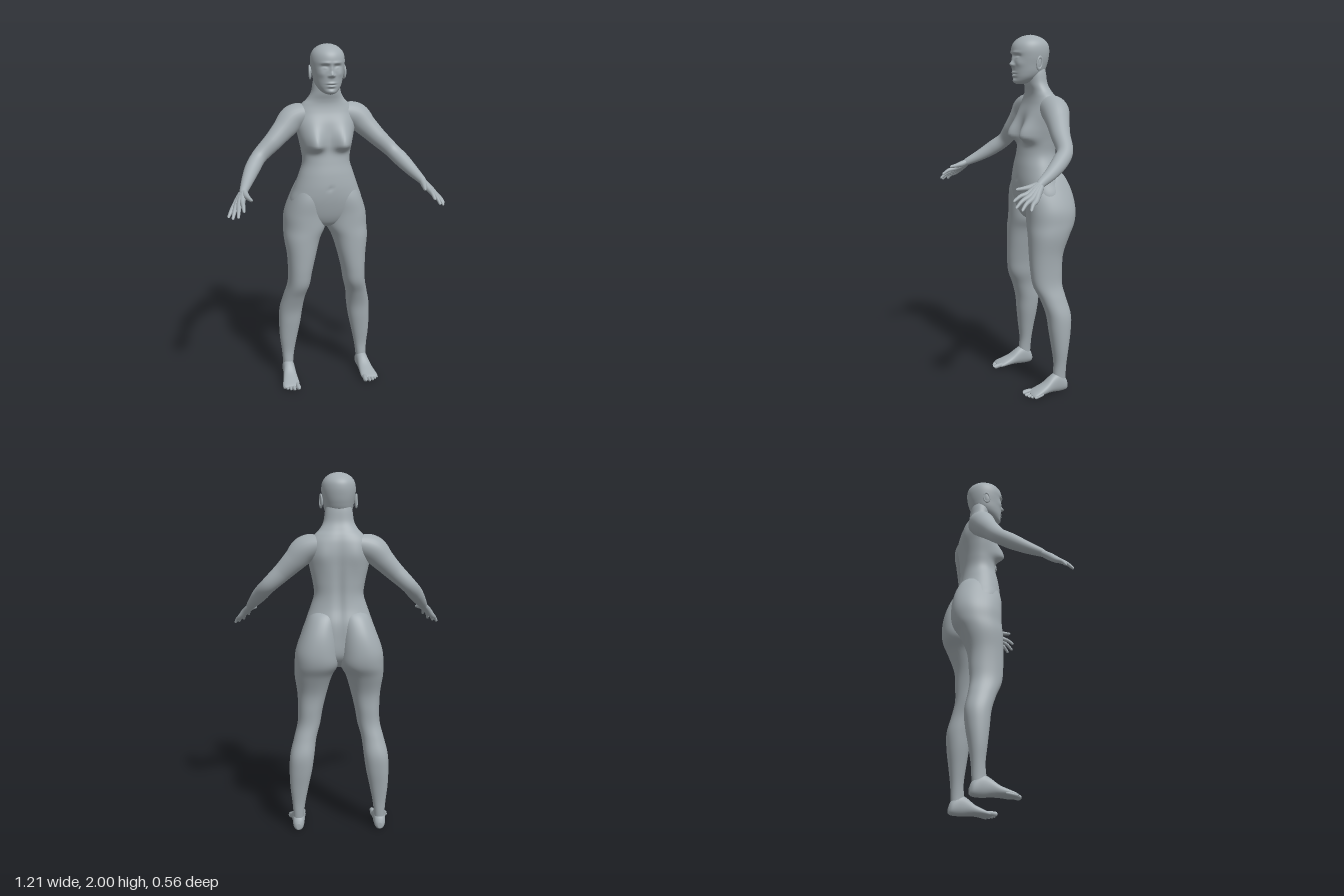
import * as THREE from 'three';

const clay = new THREE.MeshStandardMaterial({ color: 0xa3acb1 });
clay.name = 'clay grey';

function addMesh(parent, geometry, name) {
  const mesh = new THREE.Mesh(geometry, clay);
  mesh.name = name;
  parent.add(mesh);
  return mesh;
}

// Catmull-Rom value of one column of a table of rows
function spline(rows, u, k) {
  const n = rows.length - 1, i = Math.min(Math.floor(u), n - 1), f = u - i;
  const at = (j) => rows[Math.max(0, Math.min(n, j))][k];
  const [a, b, c, d] = [at(i - 1), at(i), at(i + 1), at(i + 2)];
  return b + 0.5 * f * (c - a + f * (2 * a - 5 * b + 4 * c - d + f * (3 * (b - c) + d - a)));
}

// Smooth loft. Each row: [position on axis, centre x, half width, front, back].
// With alongZ the axis is z and front/back become top/bottom.
function loft(rows, { side = 1, seg = 48, steps = 6, power = 0.9, alongZ = false, shape } = {}) {
  const pos = [], index = [], rings = (rows.length - 1) * steps + 1;
  const flip = (rows[0][0] > rows[rows.length - 1][0]) !== alongZ;
  const bend = (v) => Math.sign(v) * Math.abs(v) ** power;
  const put = (x, t, w) => {
    const p = alongZ ? new THREE.Vector3(x, w, t) : new THREE.Vector3(x, t, w);
    if (shape) shape(p);
    pos.push(p.x, p.y, p.z);
  };
  const tri = (a, b, c) => (flip ? index.push(a, c, b) : index.push(a, b, c));
  for (let i = 0; i < rings; i++) {
    const [t, c, r, f, b] = [0, 1, 2, 3, 4].map((k) => spline(rows, i / steps, k));
    for (let j = 0; j < seg; j++) {
      const a = (j / seg) * Math.PI * 2;
      put(c * side + r * bend(Math.cos(a)), t, (f + b) / 2 + ((f - b) / 2) * bend(Math.sin(a)));
    }
  }
  for (let i = 0; i < rings - 1; i++) for (let j = 0; j < seg; j++) {
    const k = (j + 1) % seg, a = i * seg + j, b = i * seg + k;
    tri(a, a + seg, b);
    tri(b, a + seg, b + seg);
  }
  // end caps
  for (const [row, ring] of [[rows[0], 0], [rows[rows.length - 1], rings - 1]]) {
    const mid = pos.length / 3;
    put(row[1] * side, row[0], (row[3] + row[4]) / 2);
    for (let j = 0; j < seg; j++) {
      const a = ring * seg + j, b = ring * seg + ((j + 1) % seg);
      if (ring) tri(a, mid, b); else tri(a, b, mid);
    }
  }
  const g = new THREE.BufferGeometry();
  g.setAttribute('position', new THREE.Float32BufferAttribute(pos, 3));
  g.setIndex(index);
  g.computeVertexNormals();
  return g;
}

// Tapered round-ended limb. Each point: [x, y, z, radius].
function limb(points, side, n = 40, seg = 14) {
  const curve = new THREE.CatmullRomCurve3(points.map((p) => new THREE.Vector3(p[0] * side, p[1], p[2])));
  const g = new THREE.TubeGeometry(curve, n, 1, seg), at = g.attributes.position;
  const length = curve.getLength(), v = new THREE.Vector3();
  for (let i = 0; i <= n; i++) {
    const u = i / n, centre = curve.getPointAt(u);
    let r = spline(points, curve.getUtoTmapping(u) * (points.length - 1), 3);
    const d = Math.min(u, 1 - u) * length;
    if (d < r) r = Math.sqrt(Math.max(0, r * r - (r - d) ** 2));
    for (let j = 0; j <= seg; j++) {
      const k = i * (seg + 1) + j;
      v.fromBufferAttribute(at, k).sub(centre).multiplyScalar(r).add(centre);
      at.setXYZ(k, v.x, v.y, v.z);
    }
  }
  return g;
}

const bell = (d, s) => Math.exp(-((d / s) ** 2));

// Chest volume and spine groove
function shapeTorso(p) {
  if (p.z > -0.11) {
    const dy = p.y - 1.452, w = Math.min(1, (p.z + 0.11) / 0.05);
    p.z += 0.062 * w * bell(Math.abs(p.x) - 0.083, 0.05) * bell(dy, dy < 0 ? 0.032 : 0.085);
    p.z -= 0.006 * bell(p.x, 0.01) * bell(p.y - 1.21, 0.012);
  } else if (p.z < -0.15) {
    p.z += 0.012 * bell(p.x, 0.025) * bell(p.y - 1.35, 0.25);
    p.z -= 0.008 * bell(Math.abs(p.x) - 0.09, 0.04) * bell(p.y - 1.56, 0.07);
  }
}

// Face relief: [x, y, width, height, depth], mirrored
const face = [
  [0.034, 1.884, 0.02, 0.012, -0.013], [0.034, 1.879, 0.013, 0.007, 0.007],
  [0.03, 1.904, 0.026, 0.008, 0.005], [0, 1.872, 0.009, 0.022, 0.006],
  [0, 1.843, 0.011, 0.013, 0.02], [0.013, 1.837, 0.008, 0.007, 0.008],
  [0, 1.797, 0.022, 0.006, 0.008], [0, 1.789, 0.022, 0.003, -0.005],
  [0, 1.78, 0.018, 0.006, 0.008], [0, 1.768, 0.02, 0.005, -0.003],
  [0, 1.752, 0.02, 0.01, 0.006], [0.052, 1.845, 0.018, 0.018, 0.005],
];
function shapeHead(p) {
  if (p.z < -0.05) return;
  const w = Math.min(1, (p.z + 0.05) / 0.04);
  const { x, y } = p;
  for (const [fx, fy, sx, sy, d] of face) p.z += d * w * bell(Math.abs(x) - fx, sx) * bell(y - fy, sy);
}

const torsoRows = [
  [0.955, 0, 0.02, -0.12, -0.17], [0.98, 0, 0.09, -0.05, -0.2], [1.03, 0, 0.19, -0.015, -0.23],
  [1.12, 0, 0.21, 0.008, -0.235], [1.2, 0, 0.185, 0.015, -0.232], [1.28, 0, 0.157, 0.008, -0.212],
  [1.35, 0, 0.136, -0.005, -0.204], [1.42, 0, 0.143, -0.016, -0.205], [1.5, 0, 0.16, -0.02, -0.209],
  [1.57, 0, 0.172, -0.03, -0.212], [1.63, 0, 0.163, -0.05, -0.205], [1.67, 0, 0.135, -0.058, -0.192],
  [1.7, 0, 0.105, -0.056, -0.176], [1.74, 0, 0.083, -0.046, -0.16], [1.8, 0, 0.073, -0.042, -0.152],
  [1.86, 0, 0.055, -0.05, -0.14],
];
const headRows = [
  [1.735, 0, 0.012, 0.014, -0.03], [1.745, 0, 0.038, 0.027, -0.06], [1.77, 0, 0.062, 0.031, -0.105],
  [1.8, 0, 0.076, 0.034, -0.145], [1.84, 0, 0.084, 0.036, -0.163], [1.88, 0, 0.091, 0.037, -0.172],
  [1.915, 0, 0.093, 0.039, -0.175], [1.945, 0, 0.088, 0.032, -0.17], [1.968, 0, 0.075, 0.015, -0.153],
  [1.986, 0, 0.053, -0.01, -0.127], [1.996, 0, 0.028, -0.04, -0.098], [2.0, 0, 0.003, -0.067, -0.073],
];
const legRows = [
  [1.28, 0.075, 0.03, -0.08, -0.16], [1.24, 0.085, 0.075, -0.03, -0.222], [1.15, 0.105, 0.098, 0, -0.265],
  [1.05, 0.12, 0.118, -0.002, -0.281], [0.97, 0.124, 0.121, -0.002, -0.272], [0.9, 0.142, 0.104, 0, -0.235],
  [0.8, 0.15, 0.083, 0, -0.196], [0.7, 0.16, 0.069, -0.003, -0.187], [0.62, 0.169, 0.064, -0.014, -0.185],
  [0.54, 0.19, 0.063, -0.05, -0.2], [0.45, 0.207, 0.068, -0.08, -0.22], [0.36, 0.216, 0.064, -0.092, -0.215],
  [0.26, 0.225, 0.052, -0.105, -0.2], [0.17, 0.229, 0.038, -0.115, -0.188], [0.1, 0.231, 0.031, -0.11, -0.184],
  [0.05, 0.232, 0.03, -0.11, -0.18],
];
const footRows = [
  [-0.196, 0.232, 0.012, 0.045, 0.012], [-0.18, 0.232, 0.029, 0.08, 0.003], [-0.14, 0.232, 0.035, 0.115, 0],
  [-0.1, 0.233, 0.036, 0.102, 0.003], [-0.05, 0.237, 0.042, 0.065, 0.005], [0, 0.241, 0.049, 0.042, 0.002],
  [0.028, 0.243, 0.048, 0.03, 0.002], [0.042, 0.241, 0.038, 0.022, 0.006],
];
const toes = [[0.207, 0.072, 0.0145], [0.232, 0.07, 0.01], [0.252, 0.062, 0.0095], [0.27, 0.05, 0.009], [0.285, 0.035, 0.009]];
const armPoints = [
  [0.08, 1.625, -0.13, 0.06], [0.18, 1.593, -0.13, 0.075], [0.24, 1.535, -0.118, 0.062],
  [0.3, 1.475, -0.102, 0.052], [0.385, 1.395, -0.083, 0.043], [0.43, 1.345, -0.028, 0.042],
  [0.47, 1.295, 0.045, 0.033], [0.5, 1.258, 0.112, 0.023], [0.512, 1.243, 0.135, 0.02],
];
// knuckle, then tip
const fingers = [
  [[0.519, 1.215, 0.193], [0.522, 1.182, 0.272]], [[0.537, 1.203, 0.196], [0.553, 1.153, 0.274]],
  [[0.553, 1.192, 0.188], [0.58, 1.143, 0.254]], [[0.566, 1.183, 0.173], [0.599, 1.142, 0.214]],
];

export function createModel() {
  const model = new THREE.Group();
  model.name = 'standing figure';
  addMesh(model, loft(torsoRows, { seg: 80, steps: 8, shape: shapeTorso }), 'torso and neck');
  addMesh(model, loft(headRows, { seg: 120, steps: 10, power: 0.95, shape: shapeHead }), 'head');

  for (const side of [1, -1]) {
    const label = side > 0 ? 'left ' : 'right ';

    // ear: shell with a raised rim
    const ear = new THREE.Group();
    ear.name = label + 'ear';
    const shell = addMesh(ear, new THREE.SphereGeometry(1, 20, 14), 'ear shell');
    shell.scale.set(0.007, 0.032, 0.018);
    const rim = addMesh(ear, new THREE.TorusGeometry(0.018, 0.005, 8, 28), 'ear rim');
    rim.rotation.y = Math.PI / 2;
    rim.scale.y = 1.75;
    rim.position.x = 0.004 * side;
    ear.position.set(0.092 * side, 1.848, -0.078);
    ear.rotation.set(-0.15, 0.3 * side, 0);
    model.add(ear);

    addMesh(model, loft(legRows, { side }), label + 'leg');

    const foot = new THREE.Group();
    foot.name = label + 'foot';
    addMesh(foot, loft(footRows, { side, alongZ: true, seg: 32 }), 'foot');
    toes.forEach(([x, z, r], i) => addMesh(foot, limb([
      [x + (0.241 - x) * 0.15, 0.02, z - 0.06, r], [x, r + 0.005, z - 0.03, r * 0.9], [x, r, z, r],
    ], side, 24, 12), 'toe ' + (i + 1)));
    model.add(foot);

    addMesh(model, limb(armPoints, side, 60, 28), label + 'arm');

    // palm is formed by the overlapping roots of the fingers
    const hand = new THREE.Group();
    hand.name = label + 'hand';
    fingers.forEach(([k, t], i) => addMesh(hand, limb([
      [0.494 + i * 0.005, 1.262 - i * 0.004, 0.112, 0.017], [(k[0] + 0.502) / 2, (k[1] + 1.256) / 2, (k[2] + 0.112) / 2, 0.019],
      [...k, 0.0145], [(k[0] + t[0]) / 2, (k[1] + t[1]) / 2 + 0.006, (k[2] + t[2]) / 2 + 0.003, 0.0105], [...t, 0.0075],
    ], side), 'finger ' + (i + 1)));
    addMesh(hand, limb([
      [0.5, 1.256, 0.12, 0.017], [0.496, 1.243, 0.158, 0.017], [0.486, 1.236, 0.198, 0.012], [0.475, 1.232, 0.238, 0.008],
    ], side), 'thumb');
    model.add(hand);
  }
  return model;
}
